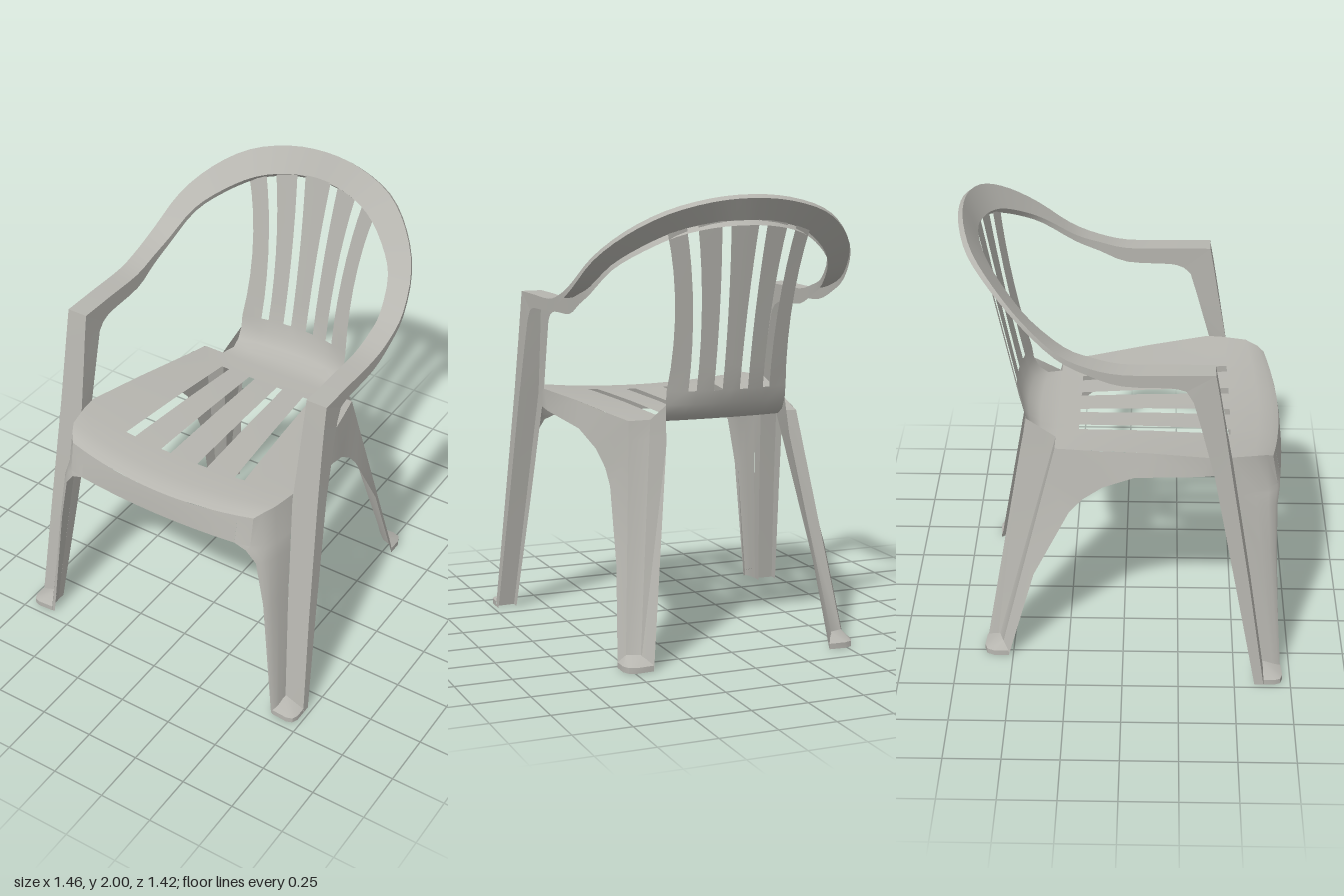
import * as THREE from 'three';
import { toCreasedNormals } from 'three/addons/utils/BufferGeometryUtils.js';

const plastic = new THREE.MeshStandardMaterial({ color: 0xb6b5af, side: THREE.DoubleSide });
plastic.name = 'greyPlastic';

const lerp = THREE.MathUtils.lerp;
const clamp = THREE.MathUtils.clamp;
const mirror = rows => rows.map(r => r.map(([x, y, z]) => [-x, y, z]));

// Thin moulded sheet through rows of points; skip(i, j) leaves a cell open
function sheet(name, rows, skip = () => false) {
  const pos = [];
  for (let i = 0; i < rows.length - 1; i++) {
    for (let j = 0; j < rows[i].length - 1; j++) {
      if (skip(i, j)) continue;
      const a = rows[i][j], b = rows[i][j + 1], c = rows[i + 1][j + 1], d = rows[i + 1][j];
      pos.push(...a, ...d, ...b, ...b, ...d, ...c);
    }
  }
  const geo = new THREE.BufferGeometry();
  geo.setAttribute('position', new THREE.Float32BufferAttribute(pos, 3));
  const mesh = new THREE.Mesh(toCreasedNormals(geo, 0.6), plastic);
  mesh.name = name;
  return mesh;
}

// Point on the dished seat, with a bowed, rolled-down front edge
function seatPoint(x, z) {
  const f = clamp((z + 0.3) / 0.5, 0, 1);
  const y = 1.02 + 0.015 * f + 0.13 * x * x * f - Math.max(0, z - 0.64) * 0.5;
  return [x, y, z - 0.2 * x * x * Math.max(0, (z - 0.4) / 0.29)];
}

const bothSides = half => [...half.map(v => -v), 0, ...half.slice().reverse()];

// Seat and backrest as one sheet with slots
function seatAndBack() {
  const rows = [];
  const seatRows = [[0.69, 0.47], [0.66, 0.495], [0.6, 0.527], [0.47, 0.548], [0.38, 0.555],
    [0.1, 0.49], [-0.2, 0.423], [-0.3, 0.4]];
  for (const [z, w] of seatRows) {
    const t = (z + 0.2) / 0.67;
    const cols = [w, 0.3 + 0.1 * (z + 0.3), lerp(0.24, 0.31, t), lerp(0.2, 0.262, t),
      lerp(0.09, 0.12, t), lerp(0.06, 0.07, t)];
    rows.push(bothSides(cols).map(x => seatPoint(x, z)));
  }
  // Bend from seat to backrest
  const low = [0.28, 0.28, 0.19, 0.155, 0.08, 0.04];
  const high = [0.325, 0.325, 0.25, 0.205, 0.105, 0.065];
  for (const [z, y, k] of [[-0.38, 1.022, 0.2], [-0.435, 1.05, 0.4], [-0.465, 1.1, 0.45]]) {
    rows.push(bothSides(low).map(x => [x, y, z + k * x * x]));
  }
  // Fanned slats
  for (const t of [0, 0.15, 0.3, 0.45, 0.6, 0.75, 0.88, 1]) {
    const cols = low.map((v, i) => lerp(v, high[i], t * t) - (i < 2 ? 0.08 : 0.04) * v / 0.28 * t * (1 - t));
    rows.push(bothSides(cols).map(x =>
      [x, lerp(1.16, 1.895 - 0.55 * x * x, t), -0.485 - 0.145 * t + 0.6 * x * x]));
  }
  const slotCells = [2, 4, 7, 9];
  return sheet('seatAndBackrest', rows, (i, j) =>
    (i >= 7 && (j === 0 || j === 11)) ||
    (slotCells.includes(j) && ((i >= 3 && i < 6) || i >= 11)));
}

// Channel section: inner flange, inner edge, outer edge, outer flange
const channel = ([ox, oy, oz, ix, iy, iz, fy, fz]) => [
  [ix, iy + fy, iz + fz], [ix, iy, iz], [ox, oy, oz], [ox, oy + fy * 0.75, oz + fz]];

// Armrests and top rail as one smooth swept channel
function armAndRail() {
  const half = [
    [0.655, 1.53, 0.385, 0.56, 1.53, 0.385, -0.1, -0.12],
    [0.655, 1.53, 0.2, 0.56, 1.53, 0.2, -0.08, 0],
    [0.655, 1.53, 0, 0.56, 1.53, 0, -0.07, 0],
    [0.655, 1.56, -0.14, 0.56, 1.56, -0.13, -0.045, 0],
    [0.645, 1.62, -0.27, 0.55, 1.6, -0.24, -0.03, -0.005],
    [0.6, 1.74, -0.41, 0.505, 1.7, -0.38, -0.02, -0.01],
    [0.5, 1.85, -0.53, 0.41, 1.78, -0.48, -0.02, -0.015],
    [0.36, 1.935, -0.625, 0.29, 1.845, -0.56, -0.02, -0.02],
    [0.18, 1.985, -0.675, 0.15, 1.88, -0.61, -0.02, -0.02],
  ].map(channel);
  const stations = [...half, channel([0, 2, -0.69, 0, 1.89, -0.63, -0.02, -0.02]), ...mirror(half).reverse()];
  const n = (stations.length - 1) * 3;
  const lines = [0, 1, 2, 3].map(k =>
    new THREE.CatmullRomCurve3(stations.map(s => new THREE.Vector3(...s[k])), false, 'catmullrom', 0.5));
  const rows = [];
  for (let i = 0; i <= n; i++) rows.push(lines.map(c => c.getPoint(i / n).toArray()));
  return sheet('armrestsAndTopRail', rows);
}

// Front face under the seat
function apron() {
  const xs = [-0.4, -0.3, -0.2, -0.1, 0, 0.1, 0.2, 0.3, 0.4];
  return sheet('frontApron', [
    xs.map(x => seatPoint(x, 0.69)),
    xs.map(x => [x, 0.97, 0.697 - 0.16 * x * x]),
    xs.map(x => [x, 0.895 + 0.03 * x * x, 0.705 - 0.125 * x * x])]);
}

// Strut rising from the front foot to the armrest
const strut = [
  [0.728, 0, 0.63, 0.637, 0, 0.635, 0, -0.04],
  [0.7, 0.5, 0.555, 0.595, 0.5, 0.56, 0, -0.06],
  [0.672, 1.05, 0.465, 0.553, 1.05, 0.47, 0, -0.075],
  [0.662, 1.3, 0.425, 0.557, 1.3, 0.425, 0, -0.1],
  [0.658, 1.42, 0.405, 0.559, 1.42, 0.405, -0.02, -0.11],
  [0.655, 1.53, 0.385, 0.56, 1.53, 0.385, -0.1, -0.12],
].map(channel);

// Rounded front leg panel flowing out of the apron
const at = (y, pts) => pts.map(([x, z]) => [x, y, z]);
const frontLeg = [
  [[0.4, 0.69], [0.47, 0.69], [0.495, 0.66], [0.527, 0.6], [0.548, 0.47]].map(p => seatPoint(...p)),
  at(0.9, [[0.4, 0.685], [0.47, 0.67], [0.51, 0.63], [0.54, 0.57], [0.564, 0.494]]),
  at(0.88, [[0.455, 0.682], [0.49, 0.668], [0.52, 0.63], [0.543, 0.575], [0.565, 0.498]]),
  at(0.82, [[0.5, 0.672], [0.52, 0.66], [0.54, 0.63], [0.555, 0.58], [0.57, 0.508]]),
  at(0.6, [[0.54, 0.675], [0.553, 0.668], [0.565, 0.645], [0.575, 0.605], [0.587, 0.544]]),
  at(0, [[0.605, 0.705], [0.617, 0.71], [0.626, 0.7], [0.632, 0.68], [0.637, 0.635]]),
];

// Side skirt: seat edge, then rear leg edge, above the arched lower edge
const rearEdge = t => [lerp(0.4, 0.518, t), lerp(1.02, 0, t), lerp(-0.3, -0.56, t)];
const sideSkirt = [
  [seatPoint(0.548, 0.47), [0.558, 0.99, 0.41]],
  [seatPoint(0.555, 0.38), [0.556, 0.98, 0.33]],
  [seatPoint(0.49, 0.1), [0.505, 0.94, 0.05]],
  [seatPoint(0.445, -0.1), [0.475, 0.87, -0.09]],
  [seatPoint(0.4, -0.3), [0.465, 0.8, -0.18]],
  [rearEdge(0.15), [0.465, 0.73, -0.24]],
  [rearEdge(0.5), [0.498, 0.42, -0.4]],
  [rearEdge(1), [0.54, 0, -0.52]],
];

// Recessed rear leg: middle panel and back panel
const rearLeg = [
  [rearEdge(0), [0.3, 1.02, -0.3], [0.28, 1.1, -0.43]],
  [rearEdge(0.08), [0.313, 0.94, -0.322], [0.29, 0.94, -0.46]],
  [rearEdge(1), [0.46, 0, -0.58], [0.415, 0, -0.625]],
];

// Small sloping toe that fills the leg channel, with a rounded rim
function toe(name, inner, rim, flip) {
  const side = r => flip ? mirror(r) : r;
  return sheet(name, side([inner, rim, rim.map(([x, , z]) => [x, 0, z])]));
}

export function createModel() {
  const chair = new THREE.Group();
  chair.name = 'stackingArmchair';
  chair.add(seatAndBack(), armAndRail(), apron());

  for (const flip of [false, true]) {
    const side = rows => flip ? mirror(rows) : rows;
    const tag = flip ? 'Right' : 'Left';
    const fold = [0.635, 0.06, 0.628], b = [0.511, 0.06, -0.545], c = [0.451, 0.06, -0.565];
    chair.add(
      sheet('frontLeg' + tag, side(frontLeg)),
      sheet('armStrut' + tag, side(strut)),
      sheet('sideSkirt' + tag, side(sideSkirt)),
      sheet('rearLeg' + tag, side(rearLeg)),
      toe('frontToe' + tag, [fold, fold, fold, fold, fold],
        at(0.025, [[0.617, 0.71], [0.69, 0.715], [0.717, 0.705], [0.728, 0.68], [0.728, 0.63]]), flip),
      toe('rearToe' + tag, [b, b, b, c, c],
        at(0.025, [[0.54, -0.52], [0.54, -0.585], [0.525, -0.618], [0.49, -0.63], [0.415, -0.625]]), flip));
  }
  return chair;
}
